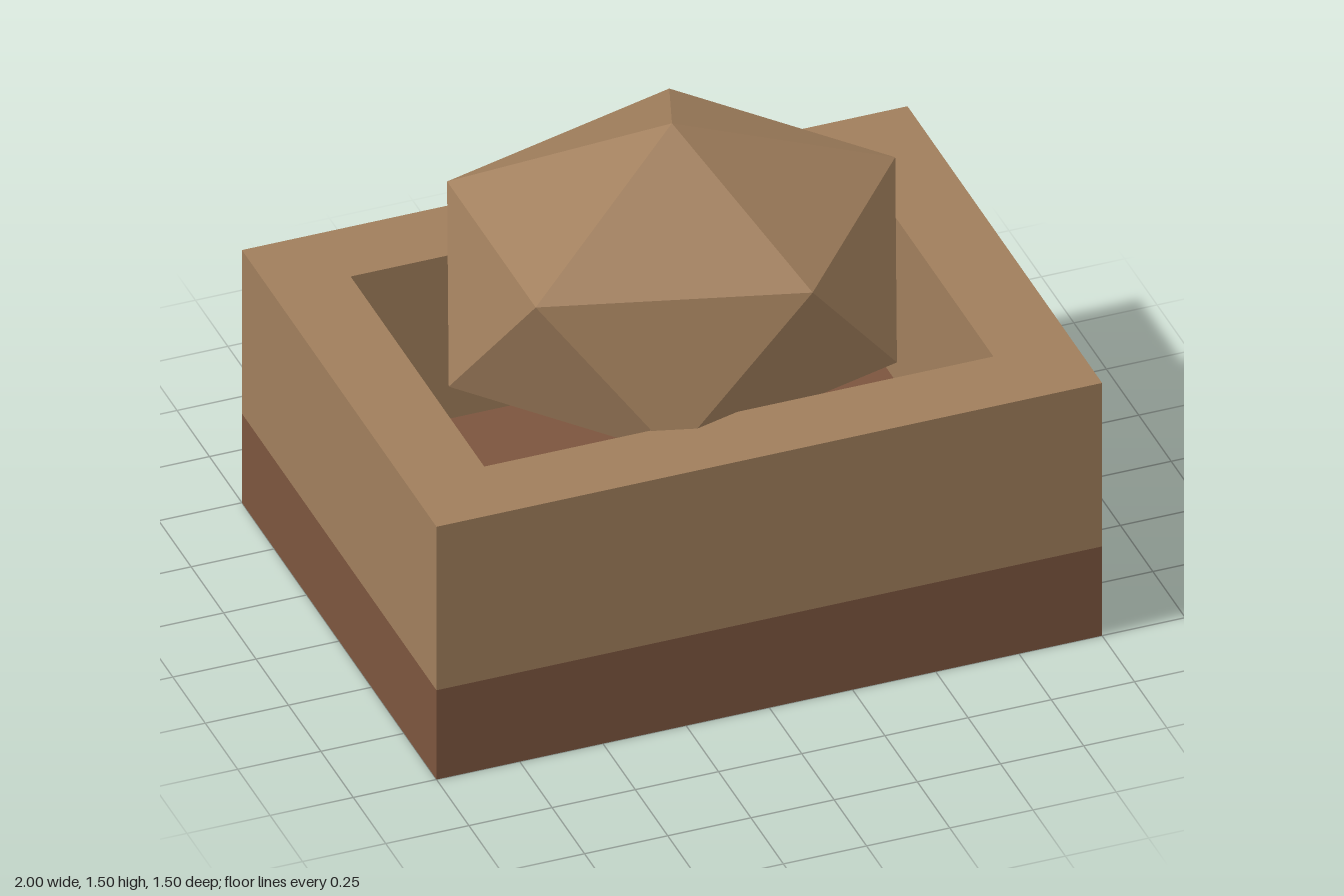
import * as THREE from 'three';

export function createModel() {
  const wood = new THREE.MeshStandardMaterial({ color: 0xa07e5c });
  wood.name = 'light wood';
  const soil = new THREE.MeshStandardMaterial({ color: 0x7c553e });
  soil.name = 'dark brown';

  const model = new THREE.Group();
  const add = (name, geometry, material, y) => {
    const mesh = new THREE.Mesh(geometry, material);
    mesh.name = name;
    mesh.position.y = y;
    model.add(mesh);
  };

  // Solid slab, whose top is the floor of the tray
  add('base', new THREE.BoxGeometry(2, 0.3, 1.5), soil, 0.15);

  // Thick rectangular rim around an open well
  const rectangle = (Type, w, d) => new Type([
    new THREE.Vector2(-w, -d), new THREE.Vector2(w, -d),
    new THREE.Vector2(w, d), new THREE.Vector2(-w, d),
  ]);
  const outline = rectangle(THREE.Shape, 1, 0.75);
  outline.holes.push(rectangle(THREE.Path, 0.765, 0.515));
  const rim = new THREE.ExtrudeGeometry(outline, { depth: 0.55, bevelEnabled: false });
  rim.rotateX(-Math.PI / 2);
  add('rim', rim, wood, 0.3);

  // Faceted boulder: icosahedron stood on one corner, then squashed
  const boulder = new THREE.IcosahedronGeometry(1, 0);
  boulder.rotateZ(-Math.atan(2 / (1 + Math.sqrt(5))));
  boulder.scale(0.75, 0.5, 0.65);
  boulder.computeVertexNormals();
  add('boulder', boulder, wood, 1);

  return model;
}
